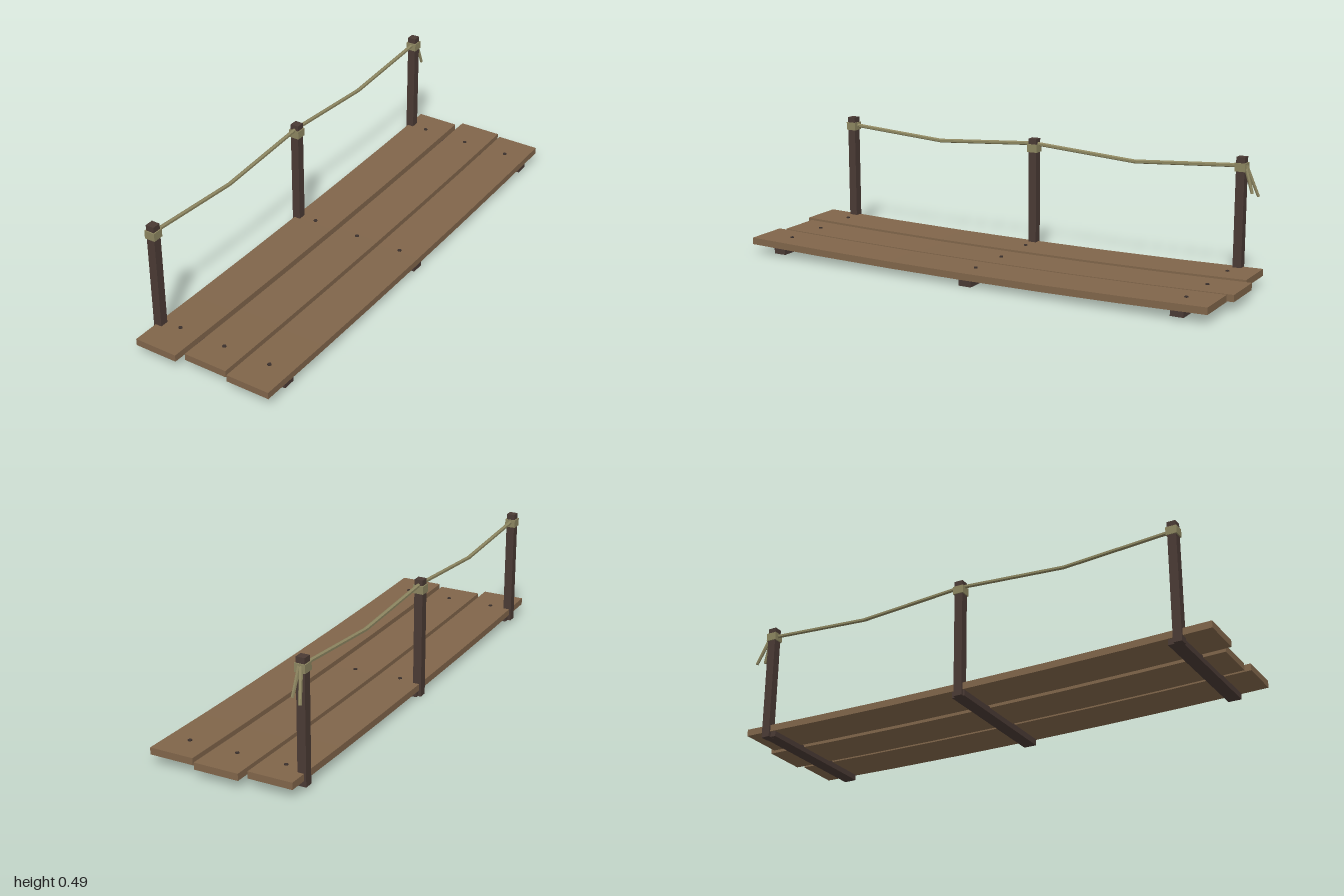
import * as THREE from 'three';

const material = (name, color) => {
  const m = new THREE.MeshStandardMaterial({ color, flatShading: true });
  m.name = name;
  return m;
};

export function createModel() {
  const plankWood = material('plank wood', 0x80654a);
  const darkWood = material('dark wood', 0x4a3a34);
  const ropeFibre = material('rope fibre', 0x8c8560);
  const nailIron = material('nail iron', 0x3a302c);
  const bridge = new THREE.Group();
  bridge.name = 'footbridge';

  const add = (name, geometry, mat, x = 0, y = 0, z = 0) => {
    const mesh = new THREE.Mesh(geometry, mat);
    mesh.name = name;
    mesh.position.set(x, y, z);
    bridge.add(mesh);
    return mesh;
  };

  // Six-sided rope length between two points
  const addRope = (name, a, b, r0, r1 = r0) => {
    const from = new THREE.Vector3(...a), to = new THREE.Vector3(...b);
    const dir = to.clone().sub(from);
    const mid = from.add(to).multiplyScalar(0.5);
    const rope = add(name, new THREE.CylinderGeometry(r1, r0, dir.length(), 6), ropeFibre, ...mid.toArray());
    rope.quaternion.setFromUnitVectors(new THREE.Vector3(0, 1, 0), dir.normalize());
  };

  // The deck sags gently towards the middle
  const sag = (z) => 0.014 * z * z;
  const thickness = 0.027;

  // Planks: left edge, right edge, back end, front end, height offset
  const planks = [
    [-0.275, -0.099, -0.971, 1.0, 0],
    [-0.079, 0.099, -1.0, 0.971, -0.002],
    [0.118, 0.295, -0.979, 0.99, 0.001],
  ];
  const beamZ = [-0.863, -0.004, 0.859];
  for (const [x0, x1, z0, z1, lift] of planks) {
    const geometry = new THREE.BoxGeometry(x1 - x0, thickness, z1 - z0, 1, 1, 6);
    geometry.translate((x0 + x1) / 2, 0.024 + thickness / 2 + lift, (z0 + z1) / 2);
    const p = geometry.attributes.position;
    for (let i = 0; i < p.count; i++) p.setY(i, p.getY(i) + sag(p.getZ(i)));
    geometry.computeVertexNormals();
    add('plank', geometry, plankWood);

    // Nail heads above each cross beam
    for (const z of beamZ) {
      add('nail', new THREE.CylinderGeometry(0.008, 0.008, 0.008, 6), nailIron,
        (x0 + x1) / 2, 0.051 + lift + sag(z), z);
    }
  }

  // Cross beams under the deck
  for (const z of beamZ) {
    add('crossBeam', new THREE.BoxGeometry(0.56, 0.026, 0.052), darkWood, 0.01, 0.013 + sag(z) * 1.2, z);
  }

  // Handrail posts with rope bindings
  const postX = -0.266;
  for (const z of [-0.876, 0, 0.874]) {
    const base = z ? 0.012 : 0;
    add('post', new THREE.BoxGeometry(0.034, 0.474, 0.034), darkWood, postX, base + 0.237, z);
    add('ropeBinding', new THREE.BoxGeometry(0.043, 0.032, 0.043), ropeFibre, postX, base + 0.436, z);
  }

  // Sagging hand rope
  const ropePath = [
    [postX, 0.453, 0.874], [postX, 0.424, 0.437], [postX, 0.454, 0],
    [postX, 0.424, -0.438], [postX, 0.453, -0.876],
  ];
  for (let i = 0; i < ropePath.length - 1; i++) addRope('handRope', ropePath[i], ropePath[i + 1], 0.008);

  // Loose rope ends at the back post
  addRope('ropeTail', [-0.268, 0.455, -0.892], [-0.289, 0.336, -0.937], 0.008, 0.006);
  addRope('ropeTail', [-0.262, 0.455, -0.892], [-0.253, 0.352, -0.925], 0.008, 0.006);

  return bridge;
}
